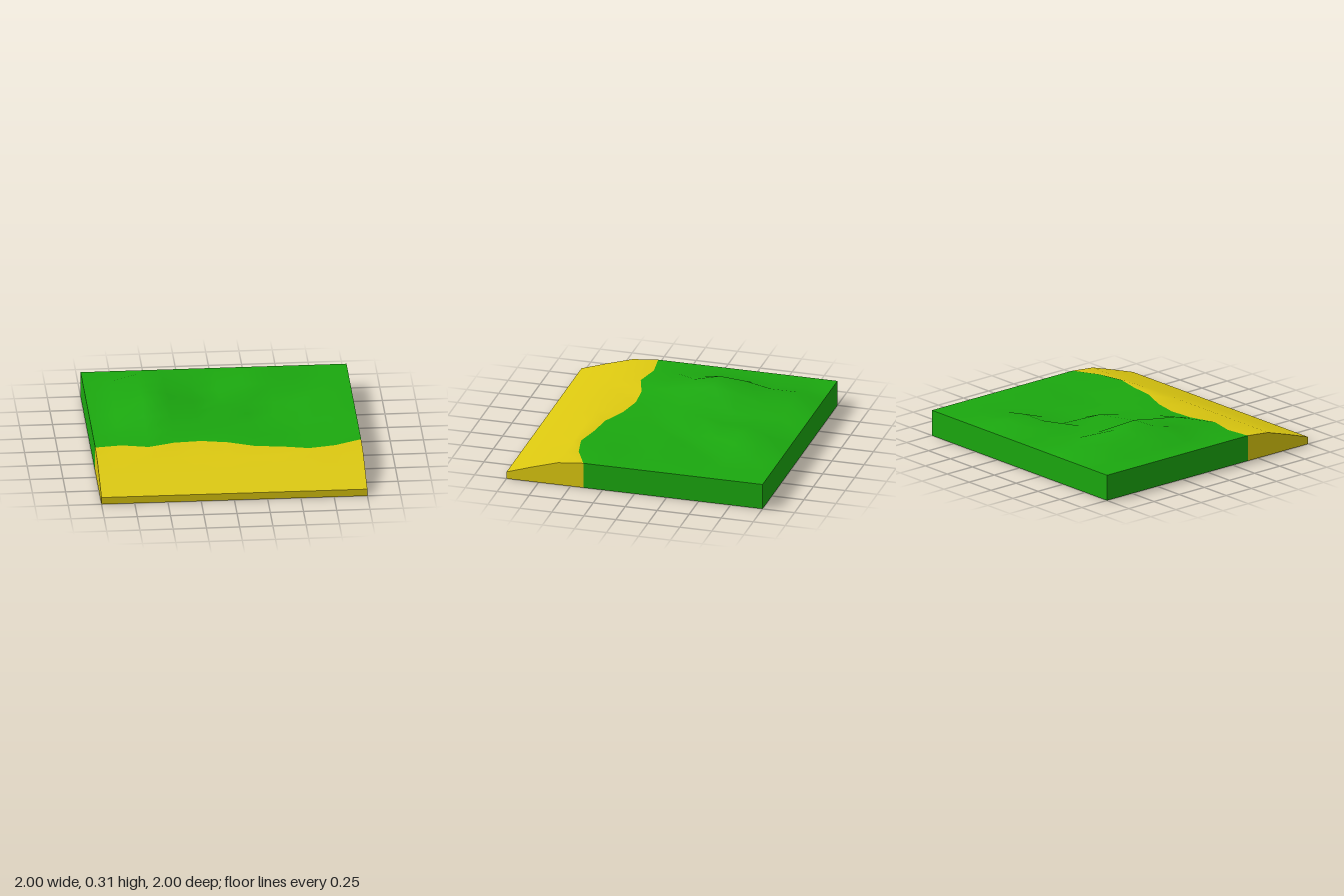
import * as THREE from 'three';
import { mergeGeometries } from 'three/addons/utils/BufferGeometryUtils.js';

const BASE = 0.2;
const N = 11; // grid points per side, 0.2 apart

// front edge of the grass, one z per column
const shore = [0.4, 0.375, 0.42, 0.355, 0.34, 0.38, 0.465, 0.49, 0.535, 0.495, 0.4];
// beach heights at z = 0.6, 0.8, 1
const beach = [0.18, 0.12, 0.055];

// hills and hollows: [row z, first column x, heights along x...]
const relief = [
  [-0.8, -0.6, 0.255, 0.23, 0.2, 0.2, 0.235, 0.235],
  [-0.6, -0.6, 0.255, 0.24, 0.2, 0.2, 0.235, 0.235],
  [-0.4, -0.6, 0.295, 0.27, 0.2, 0.2, 0.168, 0.168, 0.185],
  [-0.2, -0.6, 0.31, 0.305, 0.2, 0.245, 0.17, 0.175, 0.19],
  [0, -0.6, 0.26, 0.27, 0.2, 0.2, 0.175, 0.175, 0.18],
  [0.2, -0.6, 0.22, 0.24, 0.2, 0.2, 0.185, 0.17, 0.17, 0.19],
];

const cell = (v) => Math.round((v + 1) * 5);

// whole upper surface, so both materials share smooth normals
function terrain() {
  const geo = new THREE.PlaneGeometry(2, 2, N - 1, N - 1).rotateX(-Math.PI / 2);
  const p = geo.attributes.position;
  for (let i = 0; i < p.count; i++) {
    const row = Math.floor(i / N);
    p.setY(i, row > 7 ? beach[row - 8] : BASE);
    if (row === 7) p.setZ(i, shore[i % N]);
  }
  for (const [z, x, ...heights] of relief) {
    heights.forEach((h, k) => p.setY(cell(z) * N + cell(x) + k, h));
  }
  geo.computeVertexNormals();
  return geo;
}

// rows of the surface between two grid lines
function surfaceRows(source, from, to) {
  const geo = source.clone();
  const perRow = (N - 1) * 6;
  geo.setIndex(Array.from(source.index.array.slice(from * perRow, to * perRow)));
  return geo.toNonIndexed();
}

// flat convex panel, corners counter-clockwise seen from outside
function panel(corners) {
  const pts = [];
  for (let i = 1; i < corners.length - 1; i++) {
    pts.push(...corners[0], ...corners[i], ...corners[i + 1]);
  }
  const geo = new THREE.BufferGeometry();
  geo.setAttribute('position', new THREE.Float32BufferAttribute(pts, 3));
  geo.setAttribute('uv', new THREE.Float32BufferAttribute(new Array((pts.length / 3) * 2).fill(0), 2));
  geo.computeVertexNormals();
  return geo;
}

// both end walls from one [z, y] profile, counter-clockwise seen from -x
function endWalls(profile) {
  return [
    panel(profile.map(([z, y]) => [-1, y, z])),
    panel(profile.map(([z, y]) => [1, y, z]).reverse()),
  ];
}

const floor = (z0, z1) => panel([[-1, 0, z0], [1, 0, z0], [1, 0, z1], [-1, 0, z1]]);

function part(name, color, geometries) {
  const mesh = new THREE.Mesh(mergeGeometries(geometries), new THREE.MeshStandardMaterial({ color }));
  mesh.name = name;
  return mesh;
}

export function createModel() {
  const group = new THREE.Group();
  group.name = 'coastTile';
  const top = terrain();

  // grassy land with its back wall, ends and underside
  group.add(part('grassLand', 0x1ba80f, [
    surfaceRows(top, 0, 7),
    ...endWalls([[-1, 0], [0.4, 0], [0.4, BASE], [-1, BASE]]),
    panel([[1, 0, -1], [-1, 0, -1], [-1, BASE, -1], [1, BASE, -1]]),
    floor(-1, 0.4),
  ]));

  // sloping sand with its front lip, ends and underside
  group.add(part('sandBeach', 0xdcc810, [
    surfaceRows(top, 7, 10),
    ...endWalls([[0.4, 0], [1, 0], [1, beach[2]], [0.8, beach[1]], [0.6, beach[0]], [0.4, BASE]]),
    panel([[-1, 0, 1], [1, 0, 1], [1, beach[2], 1], [-1, beach[2], 1]]),
    floor(0.4, 1),
  ]));

  return group;
}
